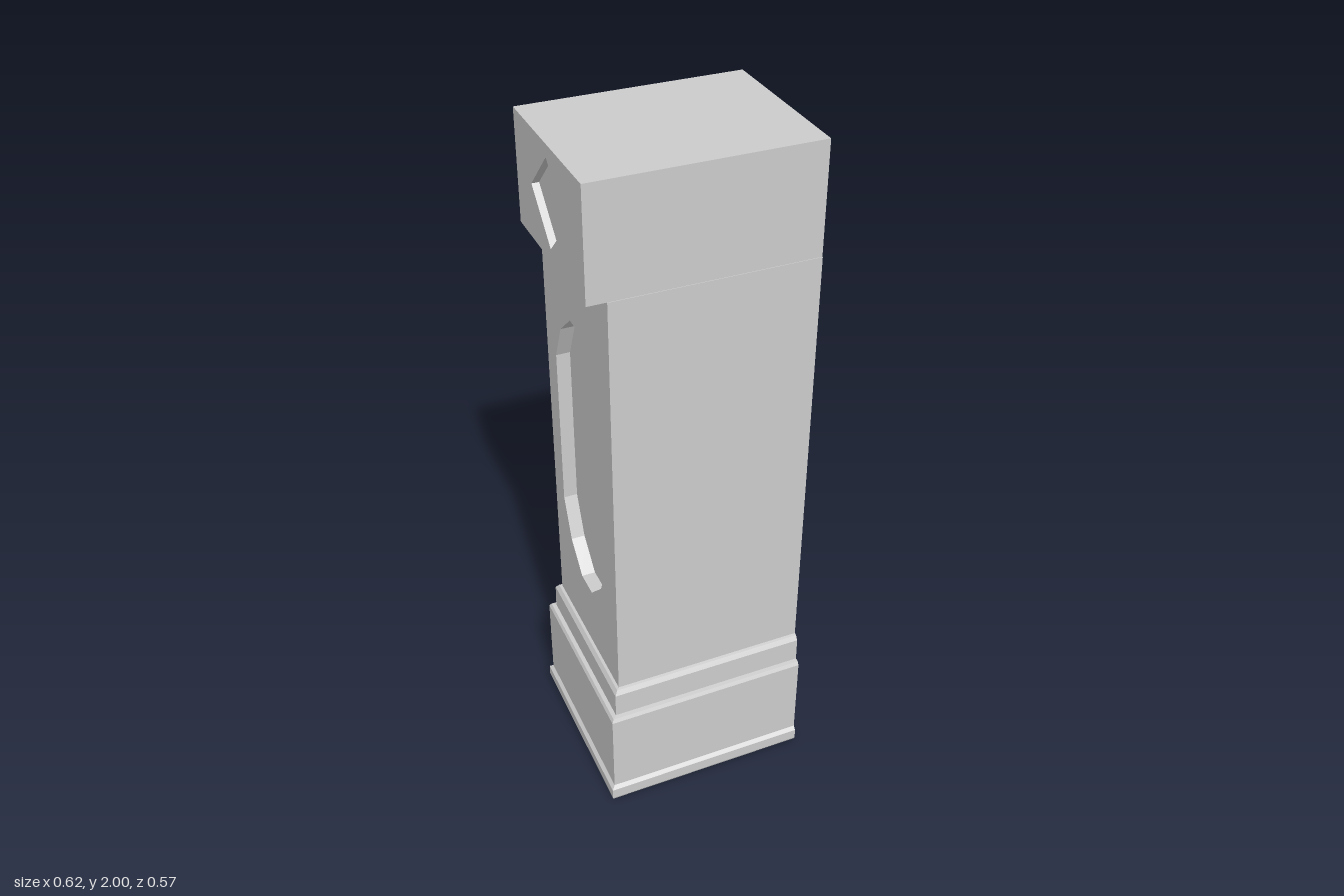
import * as THREE from 'three';

const material = new THREE.MeshStandardMaterial({ color: 0xcccccc, flatShading: true });
const BACK = 0.31; // flat mounting side on +x

function add(group, name, geometry) {
  const mesh = new THREE.Mesh(geometry, material);
  mesh.name = name;
  group.add(mesh);
  return mesh;
}

// Closed polygon mirrored about z = 0 from its +z half, listed bottom to top
function mirrored(half) {
  const other = half.filter(([z]) => z > 0).map(([z, y]) => [-z, y]).reverse();
  return [...half, ...other].map(([z, y]) => new THREE.Vector2(z, y));
}

// Block with a sunk panel of the given outline in its -x face
function recessedBlock(group, name, face, halfZ, y0, y1, depth, outline) {
  const block = new THREE.Group();
  block.name = name;
  const inner = face + depth;
  const core = add(block, name + 'Core', new THREE.BoxGeometry(BACK - inner, y1 - y0, halfZ * 2));
  core.position.set((BACK + inner) / 2, (y0 + y1) / 2, 0);

  const shape = new THREE.Shape(mirrored([[halfZ, y0], [halfZ, y1]]));
  shape.holes.push(new THREE.Path(mirrored(outline)));
  const plate = new THREE.ExtrudeGeometry(shape, { depth, bevelEnabled: false });
  plate.rotateY(-Math.PI / 2);
  add(block, name + 'Face', plate).position.x = inner;
  group.add(block);
}

// Moulding that steps out on three sides and stays flat on +x
function moulding(profile) {
  const rings = profile.map(([y, e]) => [
    [-0.26 - e, y, 0.24 + e], [BACK, y, 0.24 + e],
    [BACK, y, -0.24 - e], [-0.26 - e, y, -0.24 - e],
  ]);
  const points = [];
  const quad = (a, b, c, d) => points.push(...a, ...b, ...c, ...a, ...c, ...d);
  for (let i = 0; i + 1 < rings.length; i++) {
    for (let k = 0; k < 4; k++) {
      const n = (k + 1) % 4;
      quad(rings[i][k], rings[i][n], rings[i + 1][n], rings[i + 1][k]);
    }
  }
  const top = rings[rings.length - 1];
  quad(...top);
  quad(...[...rings[0]].reverse());
  const geometry = new THREE.BufferGeometry();
  geometry.setAttribute('position', new THREE.Float32BufferAttribute(points, 3));
  geometry.computeVertexNormals();
  return geometry;
}

export function createModel() {
  const group = new THREE.Group();
  group.name = 'pilaster';

  // Stepped base: rounded plinth, block and upper step (height, projection)
  add(group, 'base', moulding([
    [0, 0.042], [0.008, 0.046], [0.042, 0.046], [0.052, 0.036],
    [0.318, 0.036], [0.328, 0.03], [0.33, 0.018],
    [0.405, 0.017], [0.418, 0.008], [0.42, 0],
  ]));

  // Shaft with a long sunk panel
  recessedBlock(group, 'shaft', -0.26, 0.24, 0.42, 1.69, 0.04, [
    [0.04, 0.62], [0.12, 0.7], [0.17, 0.82], [0.17, 1.31], [0.12, 1.42], [0.04, 1.49],
  ]);

  // Overhanging head with a sunk diamond
  recessedBlock(group, 'head', -0.313, 0.238, 1.69, 2, 0.02, [
    [0, 1.725], [0.125, 1.845], [0, 1.965],
  ]);

  return group;
}
